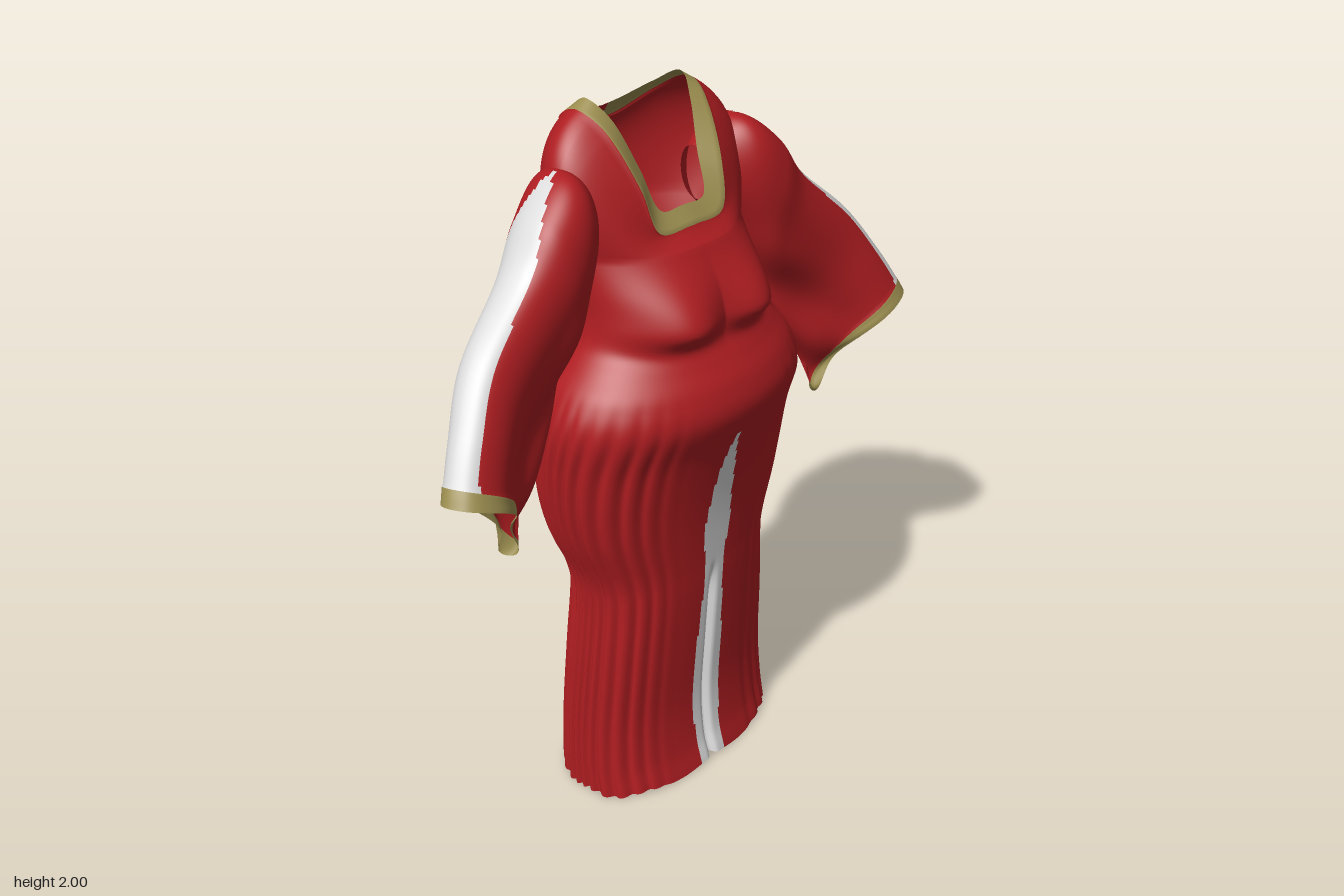
import * as THREE from 'three';

const V = (x, y, z) => new THREE.Vector3(x, y, z);
const curve = pts => new THREE.CatmullRomCurve3(pts.map(p => V(...p)), false, 'catmullrom', 0.5);
const smooth = THREE.MathUtils.smoothstep;
const spow = (v, p) => Math.sign(v) * Math.pow(Math.abs(v), p);
const bell = (v, s) => Math.exp(-(v * v) / (s * s));

function material(name, color) {
  const m = new THREE.MeshStandardMaterial({ color, side: THREE.DoubleSide });
  m.name = name;
  return m;
}

// Skins closed rings of points; pick(point, row, column) chooses the colour of each quad
function loft(name, rings, materials, pick, flip = false) {
  const n = rings[0].length;
  const lists = materials.map(() => []);
  for (let r = 0; r < rings.length - 1; r++) {
    for (let c = 0; c < n; c++) {
      const a = r * n + c, b = r * n + (c + 1) % n, d = a + n, e = b + n;
      const mid = rings[r][c].clone().add(rings[r + 1][(c + 1) % n]).multiplyScalar(0.5);
      lists[pick(mid, r, c)].push(...(flip ? [a, d, b, b, d, e] : [a, b, d, b, e, d]));
    }
  }
  const g = new THREE.BufferGeometry().setFromPoints(rings.flat());
  g.setIndex(lists.flat());
  let start = 0;
  lists.forEach((l, i) => { g.addGroup(start, l.length, i); start += l.length; });
  g.computeVertexNormals();
  const mesh = new THREE.Mesh(g, materials);
  mesh.name = name;
  return mesh;
}

// Body levels: y, half width, front z, back z
const LEVELS = [
  [0.0, 0.36, 0.195, -0.205], [0.1, 0.36, 0.17, -0.195], [0.25, 0.352, 0.158, -0.188],
  [0.45, 0.337, 0.168, -0.18], [0.65, 0.318, 0.18, -0.177], [0.75, 0.328, 0.184, -0.188],
  [0.88, 0.38, 0.194, -0.215], [1.0, 0.406, 0.212, -0.24], [1.12, 0.412, 0.24, -0.255],
  [1.24, 0.405, 0.283, -0.257], [1.32, 0.372, 0.268, -0.235], [1.38, 0.32, 0.23, -0.205],
  [1.43, 0.28, 0.195, -0.19], [1.5, 0.266, 0.182, -0.203], [1.57, 0.268, 0.165, -0.235],
  [1.65, 0.275, 0.125, -0.27],
];
const sizeCurve = curve(LEVELS.map(([y, w, f]) => [w, y, f]));
const backCurve = curve(LEVELS.map(([y, , , b]) => [0, y, b]));

// Neckline halves, front centre to back centre
const collarOuter = curve([[0, 1.692, 0.085], [0.112, 1.7, 0.078], [0.142, 1.81, 0.045], [0.172, 1.93, -0.03],
  [0.193, 1.98, -0.11], [0.165, 1.935, -0.2], [0.08, 1.88, -0.255], [0, 1.875, -0.262]]);
const collarInner = curve([[0, 1.735, 0.055], [0.078, 1.742, 0.05], [0.1, 1.84, 0.005], [0.132, 1.95, -0.05],
  [0.16, 2.0, -0.11], [0.135, 1.965, -0.18], [0.06, 1.93, -0.222], [0, 1.92, -0.23]]);

const COLS = 320;

// Point on the skirt and torso, t from hem to chest
function bodyPoint(phi, t) {
  const s = sizeCurve.getPoint(t), back = backCurve.getPoint(t).z;
  let y = s.y;
  const cz = (s.z + back) / 2, depth = (s.z - back) / 2;
  const sn = Math.sin(phi), cs = Math.cos(phi);
  // Boxier near the hem, rounder at the belly
  const n = 2.55 - 0.5 * smooth(y, 0.5, 1.2);
  const round = Math.pow(Math.pow(Math.abs(sn), n) + Math.pow(Math.abs(cs), n), -1 / n);
  // Soft pleats, fading out above the hips
  const side = Math.abs(sn), behind = cs < 0 ? 1 : 0;
  const wave = Math.abs(Math.cos(18 * phi + (0.5 * Math.sin(5 * y) + 0.7 * Math.sin(6 * phi)) * sn));
  const amp = 0.034 * (1 - smooth(y, 1.1, 1.36)) * Math.max(smooth(side, 0.3, 0.75), behind * 0.7);
  const k = round * (1 - amp * (Math.pow(wave, 3) - 0.2));
  const x = s.x * sn * k;
  let z = cz + depth * cs * k;
  if (cs > 0) {
    z += 0.068 * bell(Math.abs(x) - 0.135, 0.115) * bell(y - 1.485, y < 1.485 ? 0.05 : 0.1); // bust
    z -= 0.028 * bell(x, 0.01) * (1 - smooth(y, 0.6, 0.74));                             // front fold
  } else {
    z += 0.025 * bell(x, 0.009) * (1 - smooth(y, 0.55, 0.75));                           // back fold
    z += 0.015 * bell(x, 0.03) * smooth(y, 1.4, 1.55);                                   // spine crease
  }
  y += (0.005 + 0.005 * Math.cos(9 * phi)) * (1 - smooth(y, 0, 0.1));                    // uneven hem
  return V(x, y, z);
}

function bodyRings() {
  const ring = fn => Array.from({ length: COLS }, (_, c) => fn(c / COLS * Math.PI * 2));
  // Half-curve lookup, mirrored for the other side
  const neck = (cv, phi) => {
    const u = phi <= Math.PI ? phi / Math.PI : 2 - phi / Math.PI;
    const p = cv.getPoint(u);
    if (phi > Math.PI) p.x *= -1;
    return p;
  };
  const rings = [];
  for (let i = 0; i <= 100; i++) rings.push(ring(phi => bodyPoint(phi, i / 100)));
  // Shoulders spread from the chest, then slope in to the neckline
  for (let i = 1; i <= 20; i++) {
    rings.push(ring(phi => {
      const a = bodyPoint(phi, 1), b = neck(collarOuter, phi);
      const spread = 1.04 + 0.3 * Math.pow(Math.sin(phi), 4);
      const m = V(a.x * spread, a.y + (b.y - a.y) * 0.74, -0.07 + (a.z + 0.07) * (a.z < -0.07 ? 1.2 : 0.8));
      return new THREE.QuadraticBezierCurve3(a, m, b).getPoint(i / 20);
    }));
  }
  // Collar band
  for (let i = 0; i <= 4; i++) {
    rings.push(ring(phi => {
      const p = neck(collarOuter, phi).lerp(neck(collarInner, phi), i / 4);
      p.z += 0.006 * THREE.MathUtils.clamp((p.z + 0.1) * 20, -1, 1) * (1 - i / 4);
      return p;
    }));
  }
  return rings;
}

// Half width of the pale front panel at height y
const PANEL = [[0, 0.05], [0.35, 0.057], [0.7, 0.036], [0.85, 0.05], [1.0, 0.038], [1.2, 0]];
function panelWidth(y) {
  for (let i = 1; i < PANEL.length; i++) {
    const [y0, w0] = PANEL[i - 1], [y1, w1] = PANEL[i];
    if (y <= y1) return w0 + (w1 - w0) * (y - y0) / (y1 - y0);
  }
  return 0;
}

// Sleeve sections: upper edge, lower edge, half thickness; the first lies inside the torso
const SLEEVE = [
  [[0.2, 1.8, -0.09], [0.21, 1.65, -0.09], 0.06],
  [[0.3, 1.872, -0.06], [0.265, 1.59, -0.075], 0.115],
  [[0.41, 1.8, -0.025], [0.315, 1.5, -0.05], 0.115],
  [[0.5, 1.685, 0], [0.38, 1.38, -0.03], 0.1],
  [[0.66, 1.545, 0.045], [0.46, 1.24, -0.01], 0.092],
  [[0.755, 1.41, 0.1], [0.53, 1.11, 0.02], 0.086],
  [[0.81, 1.315, 0.135], [0.575, 1.01, 0.025], 0.088],
  [[0.83, 1.275, 0.15], [0.595, 0.97, 0.025], 0.092],
];

function sleeve(name, sign, materials) {
  const top = curve(SLEEVE.map(s => s[0])), low = curve(SLEEVE.map(s => s[1]));
  const thick = curve(SLEEVE.map(s => [s[2], 0, 0]));
  const rows = 72, cols = 96, rings = [];
  for (let i = 0; i <= rows; i++) {
    const t = i / rows, T = top.getPoint(t), B = low.getPoint(t);
    const h = thick.getPoint(t).x + (t > 0.86 ? 0.004 : 0);
    const mid = T.clone().add(B).multiplyScalar(0.5), up = T.clone().sub(B).multiplyScalar(0.5);
    const across = V(-0.45 * smooth(t, 0.1, 0.8), 0, 0.9).normalize();
    const flare = smooth(t, 0.25, 0.9);
    rings.push(Array.from({ length: cols }, (_, c) => {
      const a = c / cols * Math.PI * 2, ca = Math.cos(a), sa = Math.sin(a);
      // Round around the arm, thin and rippled where the bell hangs
      const hang = 1 - 0.72 * flare * (1 - smooth(ca, -0.5, 0.75));
      let w = h * spow(sa, 0.8) * hang;
      w += 0.014 * smooth(-ca, -0.3, 0.7) * smooth(t, 0.2, 0.5) * Math.sin(4 * a + 16 * t);
      const p = mid.clone().addScaledVector(up, ca).addScaledVector(across, w);
      // Cuff edge curves in between wrist and tip
      const dip = 0.042 * sa * sa * smooth(t, 0.6, 1);
      p.x -= dip;
      p.y += dip * 0.8;
      p.x *= sign;
      return p;
    }));
  }
  return loft(name, rings, materials, (p, r, c) => {
    const t = (r + 0.5) / rows;
    if (t > 0.865) return 2;
    // Pale band over the outer and rear side of the arm
    const a = (c + 0.5) / cols * Math.PI * 2;
    const angle = a > Math.PI ? a - 2 * Math.PI : a;
    const taper = smooth(t, 0.12, 0.45);
    return angle > -1.08 * taper && angle < (0.26 + 0.2 * t) * taper ? 1 : 0;
  }, sign < 0);
}

export function createModel() {
  const materials = [
    material('red cloth', 0xae1d21),
    material('pale cloth', 0xdadada),
    material('gold trim', 0x9c8e50),
  ];
  const model = new THREE.Group();
  model.name = 'gown';
  // Skirt, bodice, front panel and collar
  model.add(loft('gownBody', bodyRings(), materials, (p, r) => {
    if (r >= 121) return p.z < -0.15 && Math.abs(p.x) < 0.025 ? 0 : 2;
    return p.z > 0 && Math.abs(p.x) < panelWidth(p.y) ? 1 : 0;
  }));
  model.add(sleeve('leftSleeve', 1, materials), sleeve('rightSleeve', -1, materials));
  return model;
}
